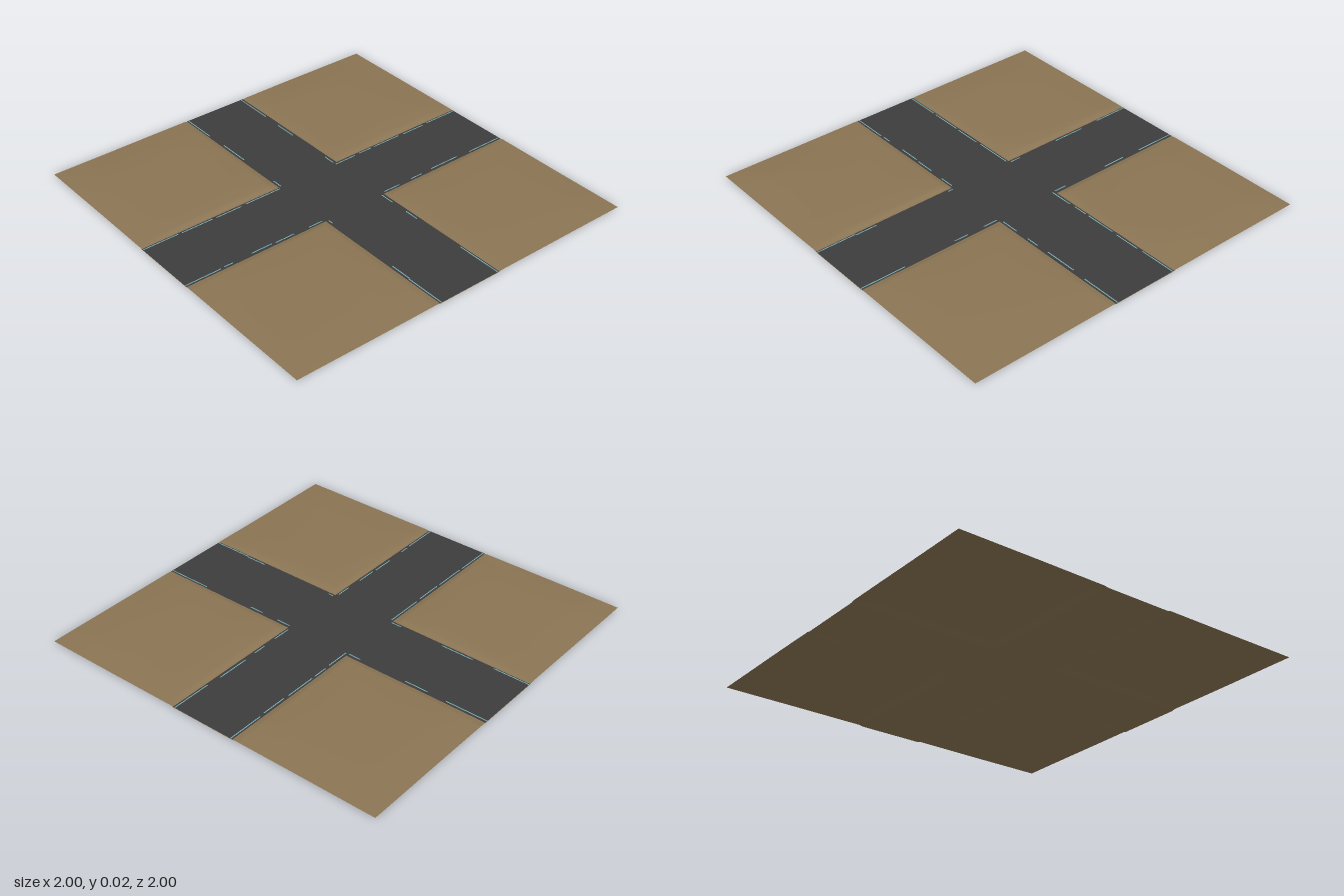
import * as THREE from 'three';

const ROAD = 0.186; // half width of the road

export function createModel() {
  const earth = new THREE.MeshStandardMaterial({ color: 0x8a7453, side: THREE.DoubleSide });
  earth.name = 'earth';
  const asphalt = new THREE.MeshStandardMaterial({ color: 0x3c3c3c });
  asphalt.name = 'asphalt';
  const paleCyan = new THREE.MeshStandardMaterial({ color: 0x74a9b1 });
  paleCyan.name = 'paleCyan';

  const model = new THREE.Group();
  model.name = 'crossroadTile';

  // Ground sheet: flat under the road, raised banks beside it, low at the rim
  const half = [0.18, 0.2, 0.23, 0.4, 0.6, 0.8, 0.9, 1];
  const stops = [...half.map((v) => -v).reverse(), ...half];
  const n = stops.length;
  const rise = (v) => {
    const a = Math.abs(v);
    const bank = THREE.MathUtils.clamp((a - 0.18) / 0.05, 0, 1);
    const rim = THREE.MathUtils.clamp((1 - a) / 0.2, 0, 1);
    return bank * (0.25 + 0.75 * rim);
  };
  const ground = new THREE.PlaneGeometry(2, 2, n - 1, n - 1);
  const p = ground.attributes.position;
  for (let k = 0; k < p.count; k++) {
    const x = stops[k % n];
    const z = stops[Math.floor(k / n)];
    const bumps = 0.0185 + 0.003 * Math.sin(x * 7.3 + z * 2.1) * Math.cos(z * 6.1 - x);
    p.setXYZ(k, x, bumps * Math.min(rise(x), rise(z)), z);
  }
  ground.computeVertexNormals();
  const groundMesh = new THREE.Mesh(ground, earth);
  groundMesh.name = 'ground';
  model.add(groundMesh);

  // Cross-shaped road surface
  const r = ROAD;
  const cross = new THREE.Shape([
    [-r, -1], [r, -1], [r, -r], [1, -r], [1, r], [r, r],
    [r, 1], [-r, 1], [-r, r], [-1, r], [-1, -r], [-r, -r],
  ].map(([x, y]) => new THREE.Vector2(x, y)));
  const road = new THREE.Mesh(new THREE.ShapeGeometry(cross).rotateX(-Math.PI / 2), asphalt);
  road.name = 'road';
  road.position.y = 0.003;
  model.add(road);

  // Thin broken edge lines: [start, end, offset from the road's centre line]
  const lines = new THREE.Group();
  lines.name = 'edgeLines';
  model.add(lines);
  const addDashes = (alongX, dashes) => {
    for (const [a, b, off] of dashes) {
      const geo = new THREE.PlaneGeometry(alongX ? b - a : 0.006, alongX ? 0.006 : b - a);
      const dash = new THREE.Mesh(geo.rotateX(-Math.PI / 2), paleCyan);
      dash.name = 'edgeDash';
      const mid = (a + b) / 2;
      dash.position.set(alongX ? mid : off, 0.0045, alongX ? off : mid);
      lines.add(dash);
    }
  };
  addDashes(false, [
    [-1, -0.8, -0.177], [-0.68, -0.5, -0.172], [-0.25, -0.19, -0.172],
    [0.19, 0.22, -0.172], [0.66, 0.78, -0.172], [0.78, 1, -0.177],
    [-1, -0.77, 0.172], [-0.66, -0.53, 0.169], [-0.26, -0.19, 0.169],
    [0.19, 0.27, 0.17], [0.37, 0.45, 0.17], [0.75, 1, 0.176],
  ]);
  addDashes(true, [
    [-1, -0.8, -0.176], [-0.78, -0.6, -0.174], [-0.58, -0.43, -0.172], [-0.4, -0.19, -0.175],
    [0.17, 0.3, -0.172], [0.33, 0.41, -0.175], [0.43, 0.6, -0.175], [0.63, 0.77, -0.172], [0.8, 1, -0.176],
    [-1, -0.8, 0.175], [-0.78, -0.73, 0.172], [-0.62, -0.5, 0.168], [-0.48, -0.37, 0.172], [-0.28, -0.2, 0.175],
    [0.2, 0.3, 0.174], [0.38, 0.45, 0.172], [0.52, 0.7, 0.168], [0.78, 1, 0.174],
  ]);

  return model;
}
